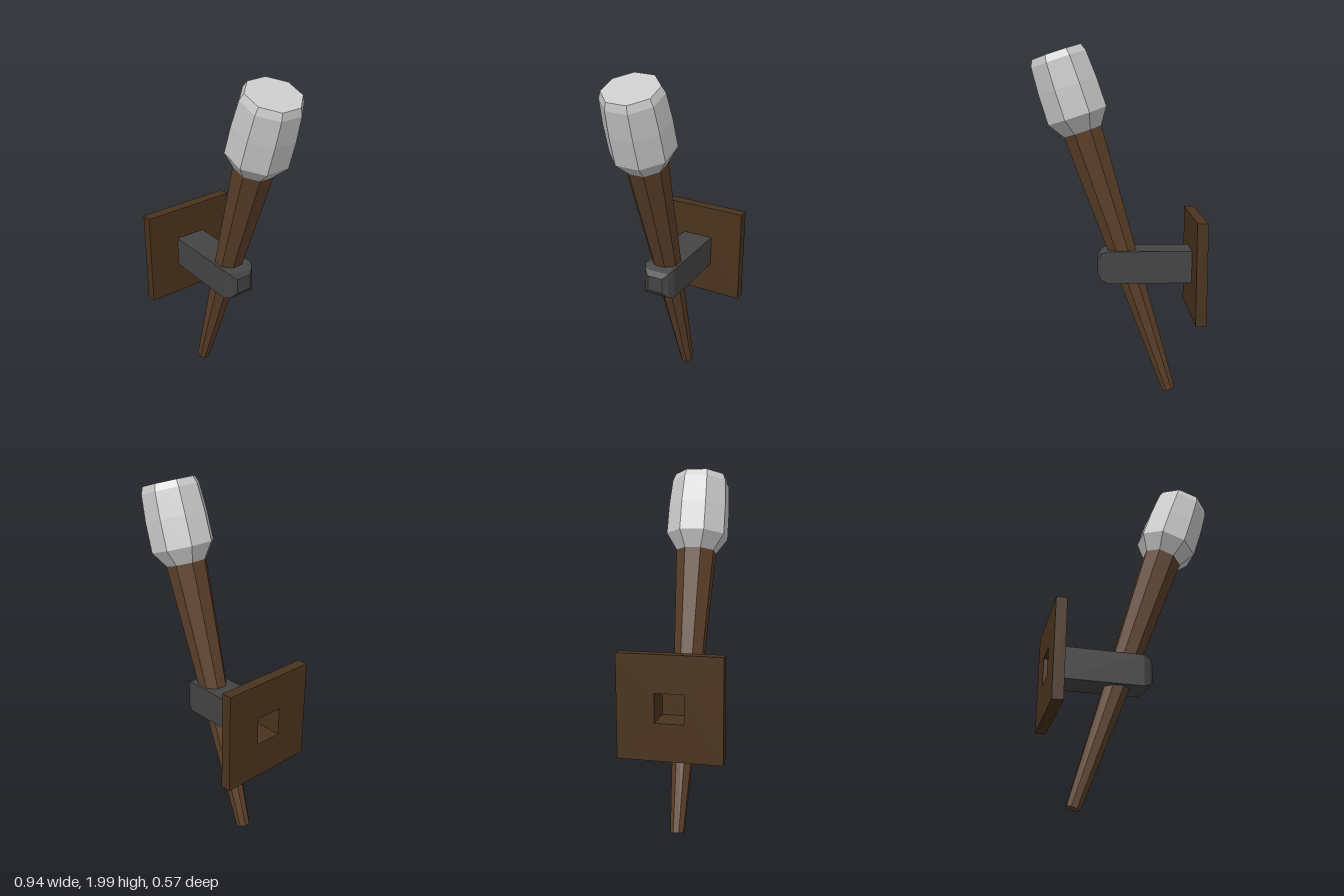
import * as THREE from 'three';

const TILT = THREE.MathUtils.degToRad(18);
const MOUNT_Y = 0.773;

function material(color, side = THREE.FrontSide) {
  return new THREE.MeshStandardMaterial({ color, flatShading: true, side });
}

// Faceted solid of revolution; profile is [distance to flat side, height]
function faceted(profile, sides) {
  const toCorner = 1 / Math.cos(Math.PI / sides);
  const points = profile.map(([r, h]) => new THREE.Vector2(r * toCorner, h));
  return new THREE.LatheGeometry(points, sides, Math.PI / sides);
}

function part(parent, name, geometry, mat) {
  const mesh = new THREE.Mesh(geometry, mat);
  mesh.name = name;
  parent.add(mesh);
  return mesh;
}

export function createModel() {
  const model = new THREE.Group();
  model.name = 'wallTorch';
  const plateColor = 0x4a331d;

  // Square wall plate with a square hole behind the bracket
  const half = 0.285, hole = 0.08;
  const outline = new THREE.Shape([
    new THREE.Vector2(-half, -half), new THREE.Vector2(half, -half),
    new THREE.Vector2(half, half), new THREE.Vector2(-half, half),
  ]);
  outline.holes.push(new THREE.Path([
    new THREE.Vector2(-hole, -hole), new THREE.Vector2(-hole, hole),
    new THREE.Vector2(hole, hole), new THREE.Vector2(hole, -hole),
  ]));
  const plateGeometry = new THREE.ExtrudeGeometry(outline, { depth: 0.06, bevelEnabled: false });
  plateGeometry.rotateY(Math.PI / 2);
  part(model, 'wallPlate', plateGeometry, material(plateColor)).position.set(-0.47, MOUNT_Y, 0);

  // Recess continuing the hole into the bracket, seen from inside
  const recess = faceted([[hole, -0.41], [hole, -0.3], [0, -0.3]], 4).rotateZ(-Math.PI / 2);
  part(model, 'plateRecess', recess, material(plateColor, THREE.BackSide)).position.y = MOUNT_Y;

  // Square bracket arm with a stepped bevel at its free end
  const arm = faceted([[0.092, -0.41], [0.092, 0.06], [0.075, 0.1], [0.046, 0.12], [0, 0.12]], 4);
  arm.rotateZ(-Math.PI / 2);
  part(model, 'bracketArm', arm, material(0x444444)).position.y = MOUNT_Y;

  // Tilted torch: tapered octagonal handle and head
  const torch = new THREE.Group();
  torch.name = 'torch';
  torch.position.set(-0.295, 0.017, 0);
  torch.rotation.z = -TILT;
  model.add(torch);

  part(torch, 'handle', faceted([[0, 0], [0.037, 0], [0.108, 1.594]], 8), material(0x5c4029));
  part(torch, 'head', faceted([
    [0.108, 1.594], [0.166, 1.684], [0.164, 1.85], [0.154, 2.0], [0.139, 2.04], [0, 2.04],
  ], 8), material(0xcccccc));

  return model;
}
